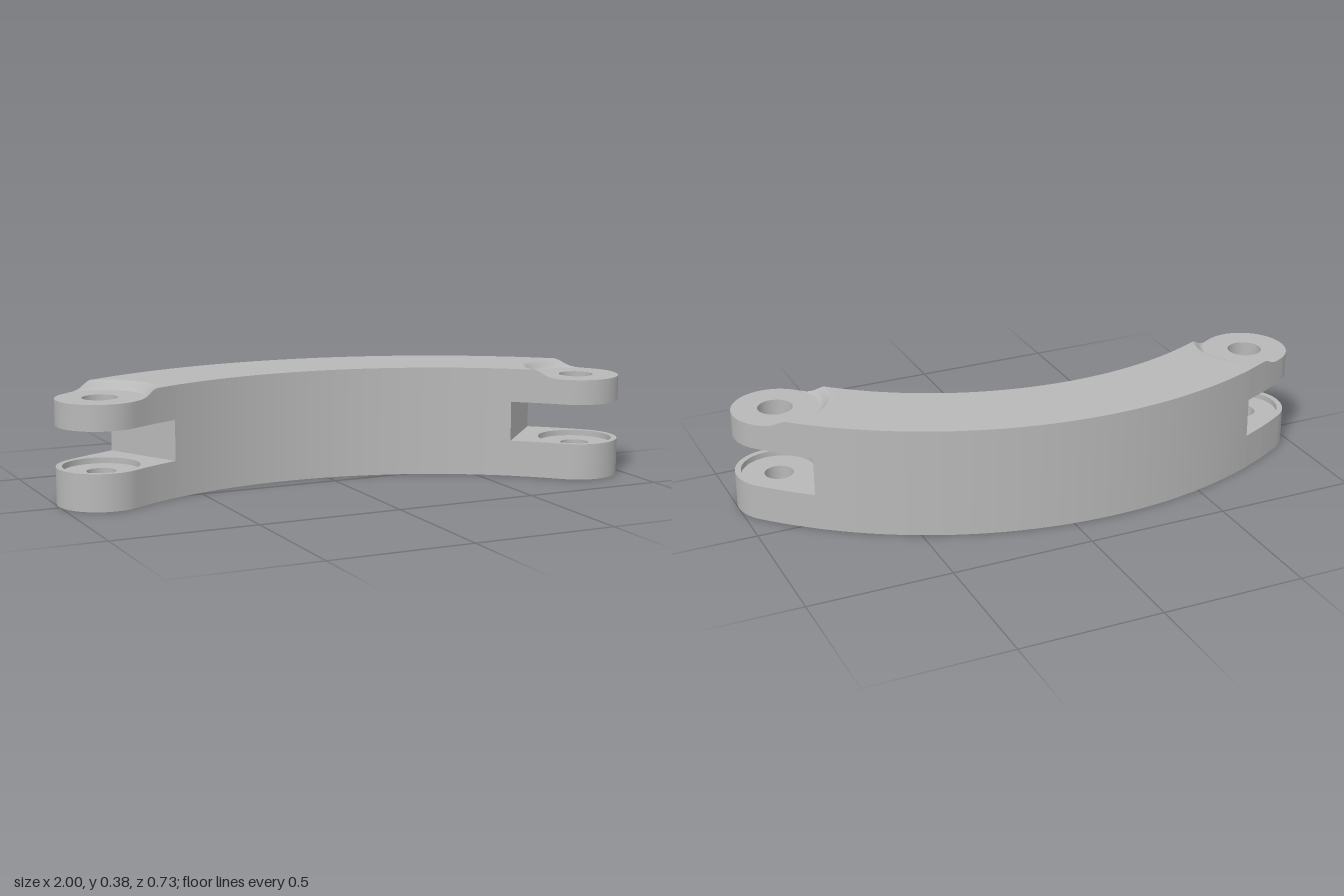
import * as THREE from 'three';
import { mergeGeometries } from 'three/addons/utils/BufferGeometryUtils.js';

// Curved link: a circular arc bar with a slotted, drilled clevis at each end.
const CX = -0.143, CZ = 1.13, R = 1.35, HALF = 0.15;
const SLOT_LOW = 0.127, SLOT_HIGH = 0.267, PAD = 0.355, TOP = 0.385, BLEND = 0.19;
const RECESS = 0.13, RECESS_DEPTH = 0.02, LOW_HOLE = 0.05, HIGH_HOLE = 0.06;
const STEPS = 8, SLOT = STEPS + 1, SPAN = 56;
const ENDS = [{ name: 'right', theta: -0.551, dir: -1 }, { name: 'left', theta: 0.826, dir: 1 }];

const onArc = (theta, rho, y = 0) =>
  new THREE.Vector3(CX + rho * Math.sin(theta), y, CZ - rho * Math.cos(theta));
const atHeight = (pts, y) => pts.map((p) => new THREE.Vector3(p.x, y, p.z));

// Points running along the bar at offset v from its centreline, y = top height
function rail(v) {
  const rho = R + v;
  const start = [];
  for (let i = 0; i <= STEPS; i++) {
    const t = i / STEPS, d = HALF + (BLEND - HALF) * t;
    const c = (rho * rho + R * R - d * d) / (2 * rho * R);
    start.push([Math.acos(Math.min(1, c)), PAD + (TOP - PAD) * t * t * (3 - 2 * t)]);
  }
  start.push([0.1505 - 0.05 * v, TOP]); // slot end wall
  const [a, b] = ENDS.map((e) => e.theta);
  const slot = start[SLOT][0], pts = start.map(([d, y]) => onArc(a + d, rho, y));
  for (let i = 1; i < SPAN; i++) {
    pts.push(onArc(THREE.MathUtils.lerp(a + slot, b - slot, i / SPAN), rho, TOP));
  }
  return pts.concat(start.reverse().map(([d, y]) => onArc(b - d, rho, y)));
}

// Arc of points around a pin, counter-clockwise from above
function around(end, r, y, from, to, n) {
  const pin = onArc(end.theta, R), s = Math.sin(end.theta), c = Math.cos(end.theta);
  return Array.from({ length: n + 1 }, (_, i) => {
    const f = from + (to - from) * i / n, t = r * Math.cos(f), o = r * Math.sin(f);
    return new THREE.Vector3(pin.x + c * t + s * o, y, pin.z + s * t - c * o);
  });
}

// Surface through rows of equal length
function loft(rows) {
  const n = rows[0].length, index = [];
  for (let j = 0; j < rows.length - 1; j++) {
    for (let i = 0; i < n - 1; i++) {
      const a = j * n + i;
      index.push(a, a + 1, a + n + 1, a, a + n + 1, a + n);
    }
  }
  const g = new THREE.BufferGeometry().setFromPoints(rows.flat());
  g.setIndex(index);
  g.computeVertexNormals();
  return g;
}

// Horizontal face with round holes, facing up or down
function plate(outline, holes, y, up) {
  const flat = (pts) => pts.map((p) => new THREE.Vector2(p.x, up ? -p.z : p.z));
  const shape = new THREE.Shape(flat(outline));
  holes.forEach((h) => shape.holes.push(new THREE.Path(flat(h))));
  return new THREE.ShapeGeometry(shape).rotateX(up ? -Math.PI / 2 : Math.PI / 2).translate(0, y, 0);
}

export function createModel() {
  const model = new THREE.Group();
  model.name = 'curvedLink';
  const grey = new THREE.MeshStandardMaterial({ color: 0xb8b8b8, side: THREE.DoubleSide });
  grey.name = 'plain grey';
  const add = (name, geometry, parent = model) => {
    const mesh = new THREE.Mesh(geometry, grey);
    mesh.name = name;
    parent.add(mesh);
  };
  const ring = (end, r, y) => around(end, r, y, 0, Math.PI * 2, 64);
  const holeLoop = (end, r) => ring(end, r, 0).slice(0, -1);

  const inner = rail(-HALF), outer = rail(HALF);
  const outerBack = [...outer].reverse();
  const nose = ENDS.map((e) => around(e, HALF, PAD, -Math.PI / 2 * e.dir,
    -Math.PI / 2 * e.dir + Math.PI, 40).slice(1, -1));

  // Bar: top with blended steps, side walls, underside
  const rows = [];
  for (let j = 0; j <= 32; j++) rows.push(rail(HALF * Math.sin((j / 32 - 0.5) * Math.PI)));
  add('barTop', loft(rows));
  for (const [name, path] of [['innerWall', inner], ['outerWall', outerBack]]) {
    const mid = path.slice(SLOT, -SLOT);
    add(name, loft([atHeight(mid, 0), mid]));
  }
  add('underside', plate([...inner, ...nose[1], ...outerBack, ...nose[0]],
    ENDS.map((e) => holeLoop(e, LOW_HOLE)), 0, false));

  // Clevis at each end
  ENDS.forEach((end, k) => {
    const clevis = new THREE.Group();
    clevis.name = end.name + 'Clevis';
    model.add(clevis);
    const contour = end.dir > 0
      ? [...inner.slice(-SLOT - 1), ...nose[k], ...outerBack.slice(0, SLOT + 1)]
      : [...outerBack.slice(-SLOT - 1), ...nose[k], ...inner.slice(0, SLOT + 1)];
    add('lowerEarWall', loft([atHeight(contour, 0), atHeight(contour, SLOT_LOW)]), clevis);
    add('upperEarWall', loft([atHeight(contour, SLOT_HIGH), contour]), clevis);
    add('slotFloor', plate(contour, [holeLoop(end, RECESS)], SLOT_LOW, true), clevis);
    add('slotRoof', plate(contour, [holeLoop(end, RECESS)], SLOT_HIGH, false), clevis);
    const wall = [contour[0], contour[contour.length - 1]];
    add('slotEndWall', loft([atHeight(wall, SLOT_LOW), atHeight(wall, SLOT_HIGH)]), clevis);

    // Pin holes with round recesses, listed from top to bottom
    const bore = (profile) => mergeGeometries(profile.slice(1).map((p, i) =>
      loft([ring(end, ...profile[i]), ring(end, ...p)])));
    add('upperPadAndBore', bore([[HALF, PAD], [HIGH_HOLE, PAD],
      [HIGH_HOLE, SLOT_HIGH + RECESS_DEPTH], [RECESS, SLOT_HIGH + RECESS_DEPTH],
      [RECESS, SLOT_HIGH]]), clevis);
    add('lowerBore', bore([[RECESS, SLOT_LOW], [RECESS, SLOT_LOW - RECESS_DEPTH],
      [LOW_HOLE, SLOT_LOW - RECESS_DEPTH], [LOW_HOLE, 0]]), clevis);
  });
  return model;
}
